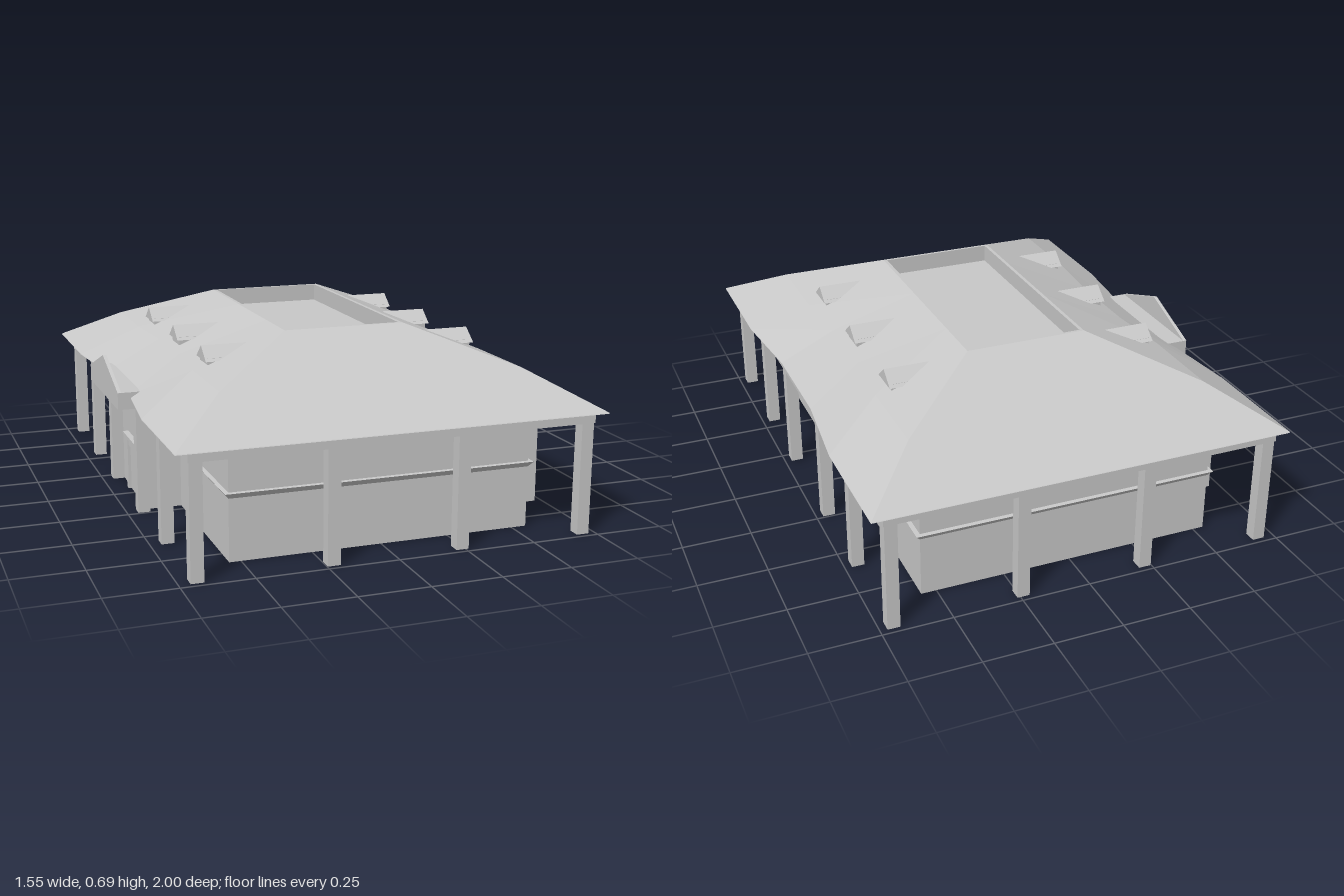
import * as THREE from 'three';

const wallGrey = new THREE.MeshStandardMaterial({ color: 0xc8c8c8, side: THREE.DoubleSide, flatShading: true });
wallGrey.name = 'plain grey';

function add(parent, geometry, name) {
  const mesh = new THREE.Mesh(geometry, wallGrey);
  mesh.name = name;
  parent.add(mesh);
  return mesh;
}

// Box given by its limits
function box(parent, name, x0, x1, y0, y1, z0, z1) {
  const mesh = add(parent, new THREE.BoxGeometry(x1 - x0, y1 - y0, z1 - z0), name);
  mesh.position.set((x0 + x1) / 2, (y0 + y1) / 2, (z0 + z1) / 2);
  return mesh;
}

// Skin between successive rows of points
function loft(rows, closed) {
  const pos = [];
  const n = rows[0].length;
  for (let r = 0; r < rows.length - 1; r++) {
    for (let i = 0; i < (closed ? n : n - 1); i++) {
      const j = (i + 1) % n;
      const [a, b, c, d] = [rows[r][i], rows[r][j], rows[r + 1][j], rows[r + 1][i]];
      pos.push(...a, ...b, ...c, ...a, ...c, ...d);
    }
  }
  const g = new THREE.BufferGeometry();
  g.setAttribute('position', new THREE.Float32BufferAttribute(pos, 3));
  g.computeVertexNormals();
  return g;
}

// Roof outline whose long sides are drawn in at the middle
function roofRing(x, z, y, inset = 0) {
  const side = [[x, 1], [x, 0.55], [x - inset, 0.2], [x - inset, -0.2], [x, -0.55], [x, -1]];
  return [
    ...side.map(([px, k]) => [px, y, k * z]),
    ...side.map(([px, k]) => [-px, y, -k * z]),
  ];
}

// Door surround and leaf projecting from a wall, facing +x
function doorway(name) {
  const door = new THREE.Group();
  door.name = name;
  for (const s of [-1, 1]) {
    box(door, 'doorPost', -0.01, 0.015, 0, 0.207, s * 0.071 - 0.014, s * 0.071 + 0.014);
  }
  box(door, 'doorHead', -0.01, 0.012, 0.175, 0.207, -0.057, 0.057);
  box(door, 'doorCap', -0.01, 0.022, 0.205, 0.217, -0.107, 0.107);
  box(door, 'doorLeaf', -0.005, 0.004, 0, 0.175, -0.057, 0.057);
  return door;
}

export function createModel() {
  const model = new THREE.Group();
  model.name = 'pavilion';
  const house = new THREE.Group();
  house.name = 'house';
  house.position.x = 0.007;
  model.add(house);

  // Walls with the entrance porch on the -x side, open underneath
  const hx = 0.548, hz = 0.835, porchX = 0.672, porchZ = 0.21;
  const plan = [
    [-hx, porchZ], [-hx, hz], [hx, hz], [hx, -hz], [-hx, -hz], [-hx, -porchZ],
    [-porchX, -porchZ], [-porchX, porchZ],
  ];
  const level = (y) => plan.map(([x, z]) => [x, y, z]);
  add(house, loft([level(0), level(0.43)], true), 'walls');

  // Sloping ledge round the walls, broken at the porch
  const ledgeRow = (out, y) => plan.slice(0, 6).map(([x, z]) => [
    x + Math.sign(x) * out, y, Math.abs(z) === hz ? z + Math.sign(z) * out : z,
  ]);
  add(house, loft([ledgeRow(0, 0.22), ledgeRow(0.016, 0.24), ledgeRow(0, 0.241)], false), 'ledge');

  // Doors
  const sideDoor = doorway('sideDoor');
  sideDoor.position.x = hx;
  const porchDoor = doorway('porchDoor');
  porchDoor.rotation.y = Math.PI;
  porchDoor.position.x = -porchX;
  house.add(sideDoor, porchDoor);

  // Pillars round the veranda
  const px = 0.695, pz = 0.957, w = 0.0225;
  const spots = [];
  for (const s of [-1, 1]) {
    for (const z of [-pz, -0.573, -0.22, 0.22, 0.573, pz]) spots.push([s * px, z]);
    for (const x of [-0.232, 0.232]) spots.push([x, s * pz]);
  }
  for (const [x, z] of spots) box(house, 'pillar', x - w, x + w, 0, 0.402, z - w, z + w);

  // Beams on the pillars
  for (const s of [-1, 1]) {
    box(house, 'sideBeam', s * px - 0.026, s * px + 0.026, 0.4, 0.433, -pz - 0.026, pz + 0.026);
    box(house, 'endBeam', -px, px, 0.4, 0.433, s * pz - 0.026, s * pz + 0.026);
  }

  // Hipped roof with a sunken well on top
  const eave = roofRing(0.765, 1, 0.436, 0.035);
  add(house, loft([
    eave,
    roofRing(0.552, 0.757, 0.56, 0.02),
    roofRing(0.225, 0.457, 0.687),
    roofRing(0.212, 0.446, 0.687),
    roofRing(0.212, 0.446, 0.622),
  ], true), 'roof');
  const well = add(house, new THREE.PlaneGeometry(0.424, 0.892).rotateX(-Math.PI / 2), 'wellFloor');
  well.position.y = 0.622;

  // Ceiling and soffit in one sheet
  const sheet = new THREE.Shape(eave.map(([x, , z]) => new THREE.Vector2(x, z)));
  const soffit = add(house, new THREE.ShapeGeometry(sheet).rotateX(Math.PI / 2), 'soffit');
  soffit.position.y = 0.433;

  // Three dormers on each long slope
  const gable = new THREE.Shape([
    new THREE.Vector2(-0.062, 0.593), new THREE.Vector2(0.062, 0.593), new THREE.Vector2(0, 0.641),
  ]);
  for (const s of [-1, 1]) {
    for (const z of [-0.393, 0, 0.393]) {
      const dormer = new THREE.Group();
      dormer.name = 'dormer';
      box(dormer, 'dormerBody', 0.4, 0.502, 0.53, 0.603, -0.05, 0.05);
      const cap = add(dormer, new THREE.ExtrudeGeometry(gable, { depth: 0.19, bevelEnabled: false }), 'dormerRoof');
      cap.rotation.y = Math.PI / 2;
      cap.position.x = 0.322;
      dormer.position.z = z;
      dormer.rotation.y = s > 0 ? 0 : Math.PI;
      house.add(dormer);
    }
  }

  // Entrance canopy and its pointed front
  box(house, 'canopy', -0.775, -0.56, 0.395, 0.457, -0.25, 0.25);
  const front = new THREE.Shape([
    new THREE.Vector2(-0.25, 0.395), new THREE.Vector2(0.25, 0.395), new THREE.Vector2(0.25, 0.457),
    new THREE.Vector2(0, 0.545), new THREE.Vector2(-0.25, 0.457),
  ]);
  const pediment = add(house, new THREE.ExtrudeGeometry(front, { depth: 0.013, bevelEnabled: false }), 'pediment');
  pediment.rotation.y = Math.PI / 2;
  pediment.position.x = -0.782;

  return model;
}
